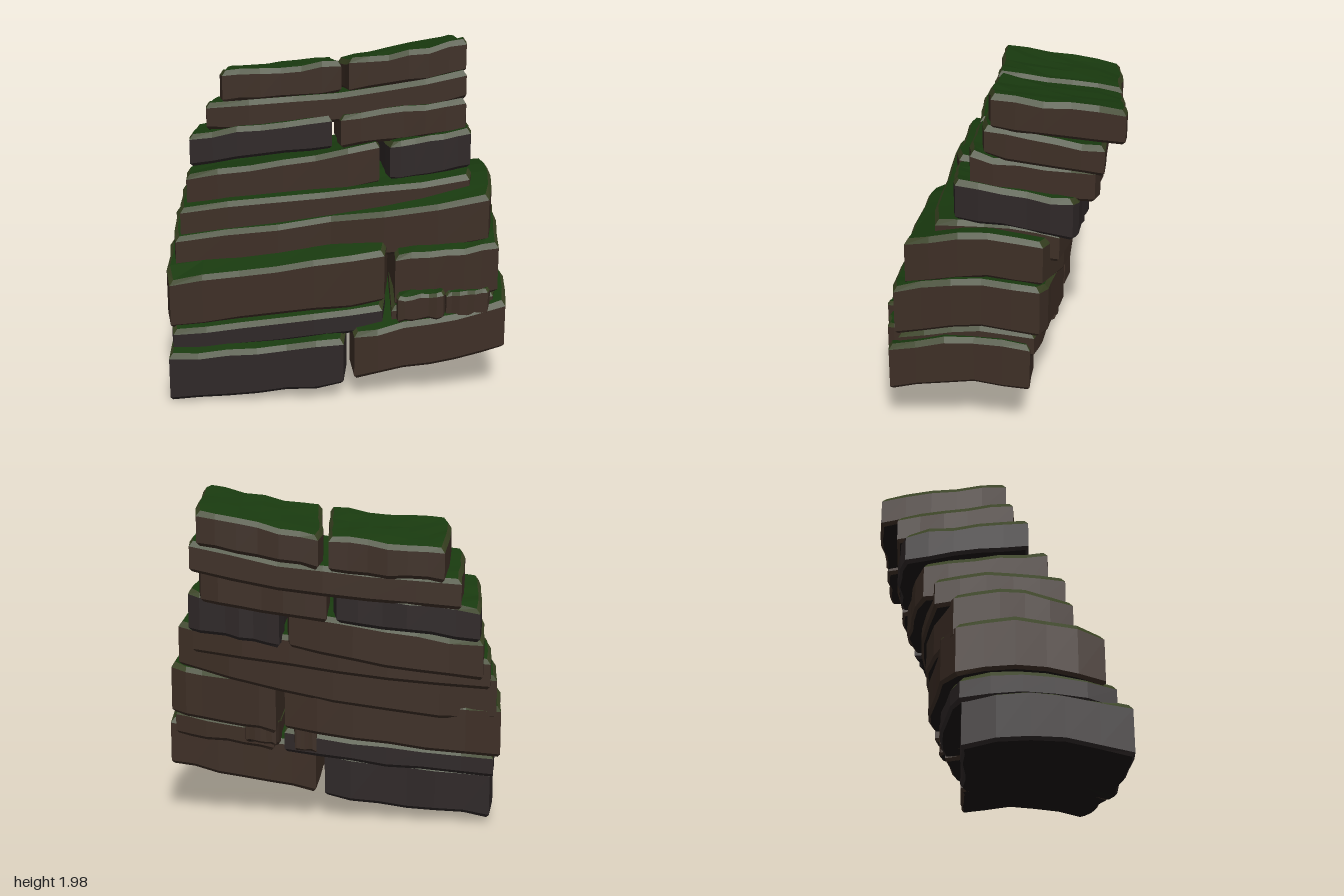
import * as THREE from 'three';

const mat = (color) => new THREE.MeshStandardMaterial({ color, flatShading: true, roughness: 0.95 });
const EARTH = mat(0x3e2f26), DARK = mat(0x2f2828), UNDER = mat(0x1a1513), MOSS = mat(0x193a0f), RIM = mat(0x374020);

const { lerp, smoothstep } = THREE.MathUtils;
// straight from start to middle, then straight to the end
const bend = (a, b, c, t) => (t < 0.5 ? lerp(a, b, t * 2) : lerp(b, c, t * 2 - 1));
// repeatable wobble in -1..1
const wobble = (a, b, c, s) => {
  const h = Math.sin(a * 12.99 + b * 78.23 + c * 37.72 + s * 4.13) * 43758.55;
  return (h - Math.floor(h)) * 2 - 1;
};

// One warped, chamfered stone with a mossy top.
// topAt, frontAt and backAt give height and depth at x; rise(w) and shift(x, w)
// move it up and sideways from front (w = 0) to back (w = 1).
function slab(name, { x0, x1, topAt, frontAt, backAt, thick, rise, shift, stone = EARTH, bevel = 0.03, seed }) {
  const NX = 6, NY = 3, NZ = 5;
  const geo = new THREE.BoxGeometry(1, 1, 1, NX, NY, NZ).toNonIndexed();
  const p = geo.attributes.position;
  const levels = [];
  const b = Math.min(bevel, thick * 0.3), chip = Math.min(0.011, thick * 0.06);
  for (let i = 0; i < p.count; i++) {
    const u = p.getX(i) + 0.5, w = 0.5 - p.getZ(i);
    const level = Math.round((p.getY(i) + 0.5) * NY);
    levels.push(level);
    const iu = Math.round(u * NX), iw = Math.round(w * NZ);
    const atX = iu === 0 ? 1 : iu === NX ? -1 : 0;
    const atZ = iw === 0 ? -1 : iw === NZ ? 1 : 0;
    let x = lerp(x0, x1, u);
    let z = lerp(frontAt(x), backAt(x), w);
    const top = topAt(x);
    let y = [top - thick, top - thick + b * 0.6, top - b, top][level] + rise(w);
    x += shift(x, w);
    // chamfer the top and bottom edges and the upright corners
    const inset = [b * 0.5, 0, 0, b * 0.7][level] + (atX && atZ ? b * 0.35 : 0);
    x += atX * (inset + chip * wobble(iu, 1, iw, seed));
    z += atZ * (inset + chip * wobble(iu, 2, iw, seed));
    y += chip * 0.8 * wobble(iu, level < 2 ? 0 : 3, iw, seed);
    p.setXYZ(i, x, y, z);
  }
  // sort the triangles into stone, underside, mossy rim and mossy top
  const parts = { stone: [], underside: [], mossRim: [], mossTop: [] };
  for (let t = 0; t < p.count; t += 3) {
    const l = levels.slice(t, t + 3), lo = Math.min(...l), hi = Math.max(...l);
    const key = lo === 3 ? 'mossTop' : hi === 3 ? 'mossRim' : hi === 0 ? 'underside' : 'stone';
    for (let j = t; j < t + 3; j++) parts[key].push(p.getX(j), p.getY(j), p.getZ(j));
  }
  const group = new THREE.Group();
  group.name = name;
  const mats = { stone, underside: UNDER, mossRim: RIM, mossTop: MOSS };
  for (const key in parts) {
    const g = new THREE.BufferGeometry();
    g.setAttribute('position', new THREE.Float32BufferAttribute(parts[key], 3));
    g.computeVertexNormals();
    const m = new THREE.Mesh(g, mats[key]);
    m.name = key;
    group.add(m);
  }
  return group;
}

// Steps from the ground up: x ends, top height at both ends, front and back z.
// split is the x of the gap, lift raises the piece right of it, lean slants it,
// skew turns the right half of the front, bulge swells the middle of the back
const STEPS = [
  { ends: [-0.95, 0.985], top: [0.29, 0.54], z: [0.69, -0.2], thick: 0.28, split: 0.075, sag: 0.04, lift: 0.03, skew: -0.09, dark: 'Left' },
  { ends: [-0.94, 0.92], top: [0.4, 0.62], z: [0.62, -0.22], thick: 0.14, split: 0.3, skew: -0.07, bulge: 0.1, dark: 'Left' },
  { ends: [-0.97, 0.93], top: [0.69, 0.95], z: [0.57, -0.25], thick: 0.3, split: 0.315, lift: -0.035, lean: 0.02, bulge: 0.14 },
  { ends: [-0.94, 0.89], top: [0.89, 1.18], z: [0.4, -0.27], thick: 0.27, sag: 0.02, skew: 0.12, bulge: 0.15 },
  { ends: [-0.9, 0.78], top: [1.06, 1.25], z: [0.36, -0.36], thick: 0.18, bulge: 0.08 },
  { ends: [-0.87, 0.79], top: [1.23, 1.5], z: [0.28, -0.42], thick: 0.23, split: 0.28, lean: 0.04, skew: -0.05, bulge: 0.1, dark: 'Right' },
  { ends: [-0.86, 0.77], top: [1.45, 1.65], z: [0.16, -0.53], thick: 0.19, split: 0.01, lean: 0.04, bulge: 0.05, dark: 'Left' },
  { ends: [-0.76, 0.78], top: [1.62, 1.81], z: [0.09, -0.58], thick: 0.17, sag: 0.04, bulge: 0.02 },
  { ends: [-0.68, 0.78], top: [1.8, 1.99], z: [0.05, -0.68], thick: 0.19, split: 0.06, sag: 0.035, lean: 0.07 },
];

export function createModel() {
  const model = new THREE.Group();
  model.name = 'rockStaircase';

  STEPS.forEach(({ ends: [xl, xr], top, z, thick, split, sag = 0, lift = 0, lean = 0, skew = 0, bulge = 0, dark }, i) => {
    const along = (x) => (x - xl) / (xr - xl);
    const hump = (x) => 4 * along(x) * (1 - along(x));
    const upper = smoothstep(i, 2.5, 5.5);
    const step = new THREE.Group();
    step.name = 'step' + (i + 1);
    const pieces = split === undefined ? { Full: [xl, xr] }
      : { Left: [xl, split - 0.017], Right: [split + 0.017, xr] };
    Object.entries(pieces).forEach(([side, [x0, x1]], k) => {
      step.add(slab('slab' + side, {
        x0, x1, thick,
        stone: side === dark ? DARK : EARTH,
        seed: i * 2 + k + 1,
        topAt: (x) => lerp(top[0], top[1], along(x)) - sag * hump(x) + (side === 'Right' ? lift : 0),
        frontAt: (x) => z[0] + skew * Math.max(0, along(x) * 2 - 1),
        backAt: (x) => z[1] - bulge * hump(x),
        // low steps arch up in the middle, high ones fall away to the back
        rise: (w) => bend(0, lerp(0.085, -0.055, upper), lerp(0.035, -0.105, upper), w),
        // the gap slants; the outer ends of the steps above the ground widen to the back
        shift: (x, w) => w * (i > 0 && i < 6 && Math.abs(x) > 0.7 ? Math.sign(x) * 0.03 : -lean * Math.min(1, along(x) * 2)),
      }));
    });
    model.add(step);
  });

  // loose stones wedged between the lowest steps, in front and at the back
  const loose = [
    { x: 0.485, width: 0.27, y: 0.63, z: 0.54 },
    { x: 0.75, width: 0.26, y: 0.64, z: 0.51 },
    { x: 0.41, width: 0.2, y: 0.62, z: -0.23 },
    { x: 0.15, width: 0.14, y: 0.58, z: -0.23 },
  ];
  loose.forEach(({ x, width, y, z }, i) => {
    model.add(slab('looseStone' + (i + 1), {
      x0: x - width / 2, x1: x + width / 2, thick: 0.15, bevel: 0.02, seed: 30 + i,
      topAt: (px) => y + (px - x) * 0.1,
      frontAt: () => z + 0.1,
      backAt: () => z - 0.1,
      rise: (w) => 0.02 * w,
      shift: () => 0,
    }));
  });
  return model;
}
